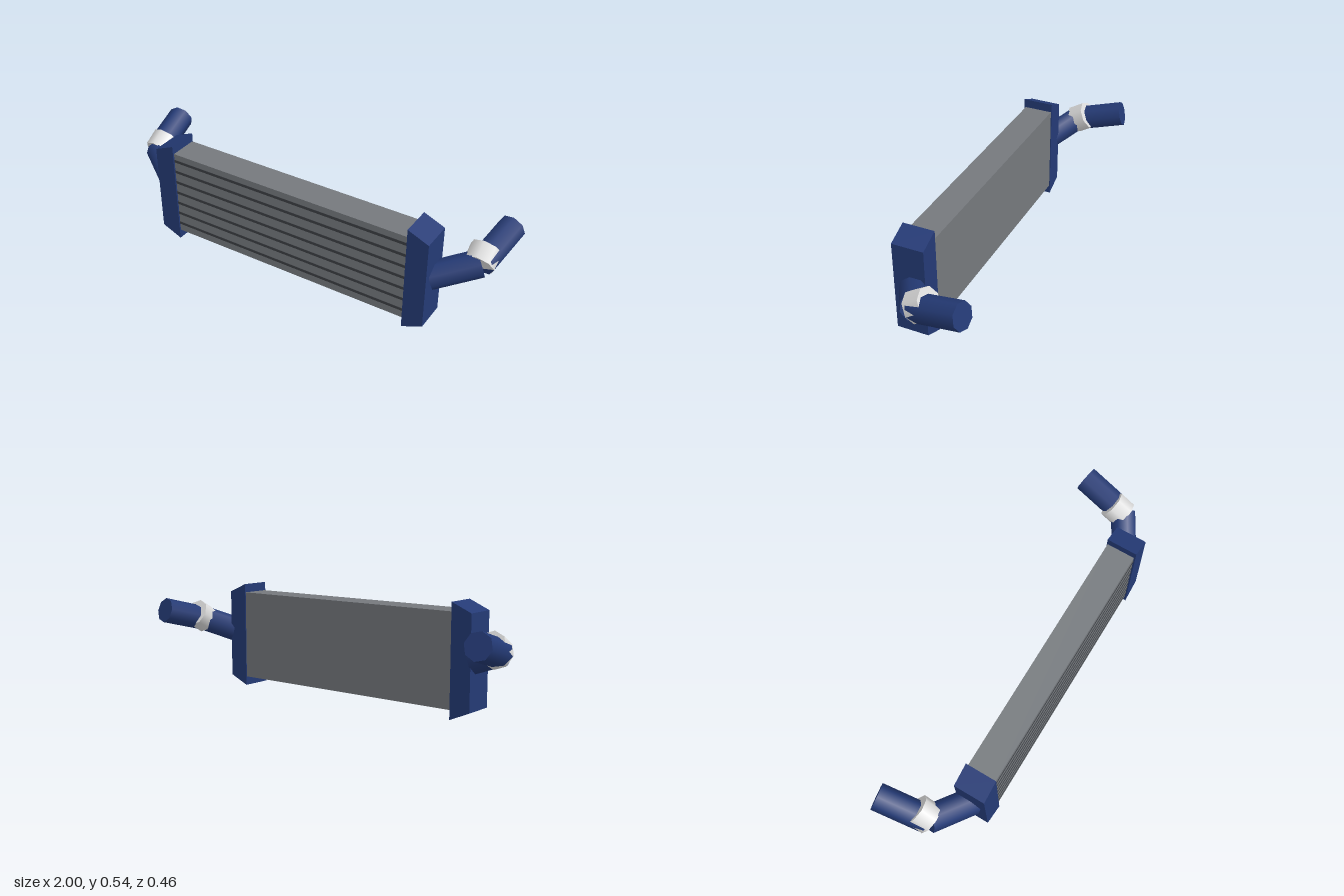
import * as THREE from 'three';

const paint = (name, color) => {
  const m = new THREE.MeshStandardMaterial({ color });
  m.name = name;
  return m;
};

export function createModel() {
  const blue = paint('blue', 0x243a75);
  const grey = paint('grey', 0x75797d);
  const dark = paint('darkGrey', 0x3c3f44);
  const silver = paint('silver', 0xdcdcdc);

  const model = new THREE.Group();
  model.name = 'intercooler';

  const add = (name, geometry, material, parent = model) => {
    const mesh = new THREE.Mesh(geometry, material);
    mesh.name = name;
    parent.add(mesh);
    return mesh;
  };

  // Eight-sided cylinder running from point a to point b
  const rod = (name, a, b, radius, material, parent) => {
    const axis = b.clone().sub(a);
    const mesh = add(name, new THREE.CylinderGeometry(radius, radius, axis.length(), 8), material, parent);
    mesh.position.copy(a).add(b).multiplyScalar(0.5);
    mesh.quaternion.setFromUnitVectors(new THREE.Vector3(0, 1, 0), axis.normalize());
    return mesh;
  };

  // Core block with dark slots across the front
  add('core', new THREE.BoxGeometry(1.27, 0.447, 0.142), grey).position.set(0, 0.269, 0.149);
  for (let i = 0; i < 7; i++) {
    add('slot', new THREE.BoxGeometry(1.26, 0.014, 0.004), dark).position.set(0, 0.091 + i * 0.0605, 0.22);
  }

  // End tanks, pipes and clamps, one set per side
  for (const s of [1, -1]) {
    const side = new THREE.Group();
    side.name = s > 0 ? 'leftSide' : 'rightSide';
    model.add(side);
    const at = (x, y, z) => new THREE.Vector3(s * x, y, z);

    // Tank tapering toward its outer face
    const outline = new THREE.Shape([[0.63, 0], [0.733, 0.045], [0.733, 0.492], [0.63, 0.536]]
      .map(([x, y]) => new THREE.Vector2(s * x, y)));
    add('endTank', new THREE.ExtrudeGeometry(outline, { depth: 0.154, bevelEnabled: false }), blue, side)
      .position.z = 0.074;

    // Bent pipe in two straight lengths
    const elbow = at(0.898, 0.34, 0.03);
    rod('lowerPipe', at(0.71, 0.27, 0.148), elbow, 0.064, blue, side);
    rod('upperPipe', elbow, at(0.935, 0.403, -0.21), 0.064, blue, side);

    // Clamp around the bend
    rod('clamp', at(0.89, 0.334, 0.038), at(0.89, 0.377, -0.035), 0.073, silver, side);
  }

  return model;
}
